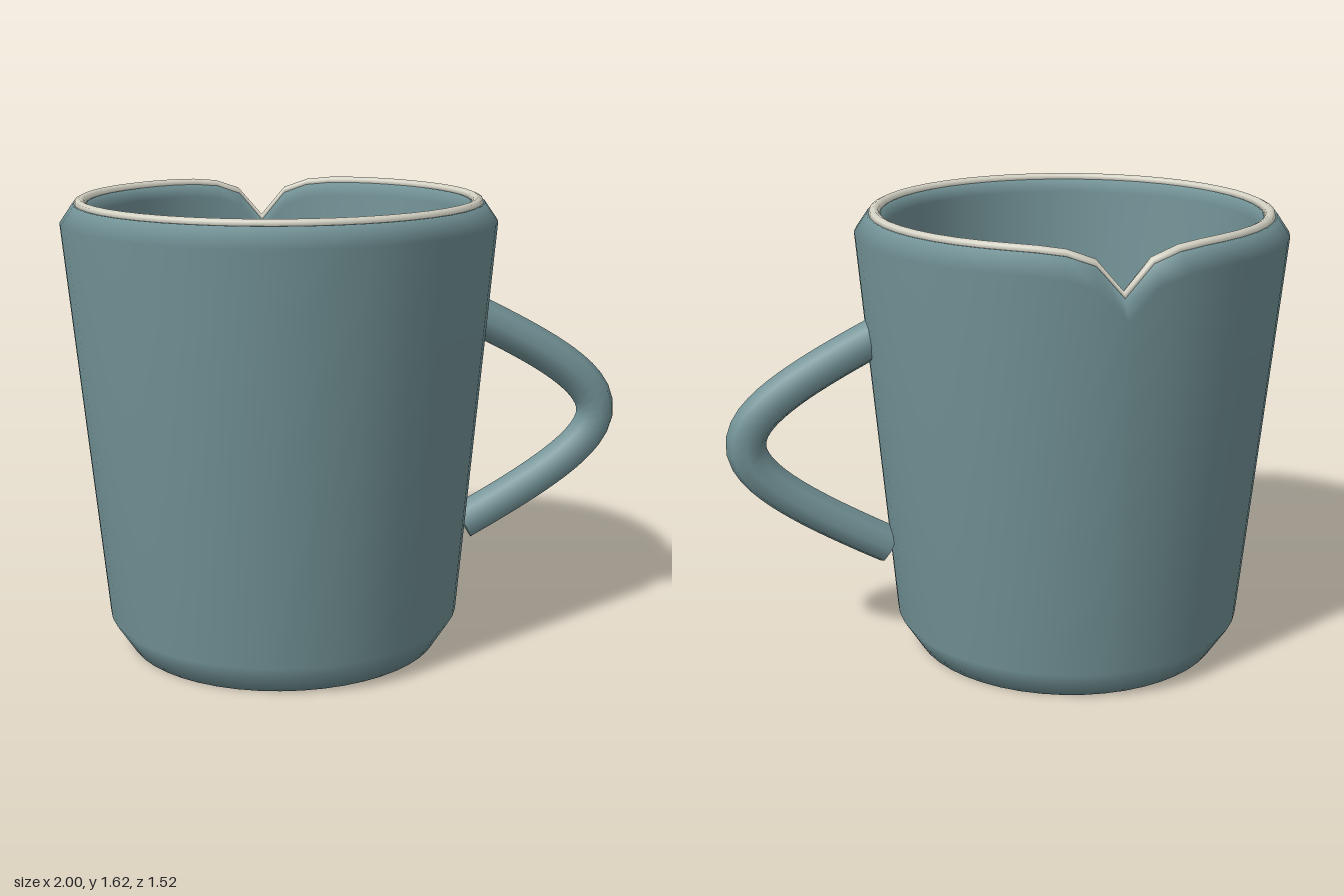
import * as THREE from 'three';
import { mergeVertices } from 'three/addons/utils/BufferGeometryUtils.js';

const AXIS_X = -0.24;
const glaze = new THREE.MeshStandardMaterial({ color: 0x729296 });
const bareClay = new THREE.MeshStandardMaterial({ color: 0xd6d4c6 });

// Turned profile whose upper rings dip into a sharp pouring notch at the back
function notchedLathe(profile) {
  const points = profile.map(([r, y]) => new THREE.Vector2(r, y));
  let geo = new THREE.LatheGeometry(points, 48);
  const pos = geo.attributes.position;
  for (let i = 0; i < pos.count; i++) {
    const y = pos.getY(i);
    if (y < 1) continue;
    const angle = Math.atan2(Math.abs(pos.getX(i)), -pos.getZ(i));
    pos.setY(i, y - 0.15 * Math.exp(-angle / 0.108));
  }
  geo.deleteAttribute('normal');
  geo.deleteAttribute('uv');
  geo = mergeVertices(geo, 1e-4);
  geo.computeVertexNormals();
  return geo;
}

function addMesh(parent, name, geometry, material) {
  const mesh = new THREE.Mesh(geometry, material);
  mesh.name = name;
  parent.add(mesh);
  return mesh;
}

export function createModel() {
  const mug = new THREE.Group();
  mug.name = 'mug';

  // Body: base, chamfered foot, tapering wall, shoulder, then the inside
  const body = addMesh(mug, 'body', notchedLathe([
    [0, 0], [0.565, 0], [0.635, 0.11], [0.76, 1.53], [0.715, 1.595],
    [0.665, 1.595], [0.65, 1.55], [0.56, 0.16], [0.5, 0.08], [0, 0.08],
  ]), glaze);
  body.position.x = AXIS_X;

  // Unglazed lip
  const rim = addMesh(mug, 'rim', notchedLathe([
    [0.69, 1.585], [0.71, 1.59], [0.705, 1.608], [0.69, 1.615],
    [0.675, 1.608], [0.667, 1.59], [0.69, 1.585],
  ]), bareClay);
  rim.position.x = AXIS_X;

  // Handle: bent rod with closed ends
  const handle = new THREE.Group();
  handle.name = 'handle';
  mug.add(handle);
  const path = new THREE.CubicBezierCurve3(
    new THREE.Vector3(0.45, 1.18, 0), new THREE.Vector3(1.09, 0.86, 0),
    new THREE.Vector3(1.09, 0.75, 0), new THREE.Vector3(0.43, 0.39, 0));
  addMesh(handle, 'handleRod', new THREE.TubeGeometry(path, 32, 0.071, 8), glaze);
  for (const [name, t, sign] of [['upperHandleEnd', 0, -1], ['lowerHandleEnd', 1, 1]]) {
    const cap = addMesh(handle, name, new THREE.CircleGeometry(0.071, 8), glaze);
    cap.position.copy(path.getPointAt(t));
    cap.lookAt(cap.position.clone().addScaledVector(path.getTangentAt(t), sign));
  }
  return mug;
}
